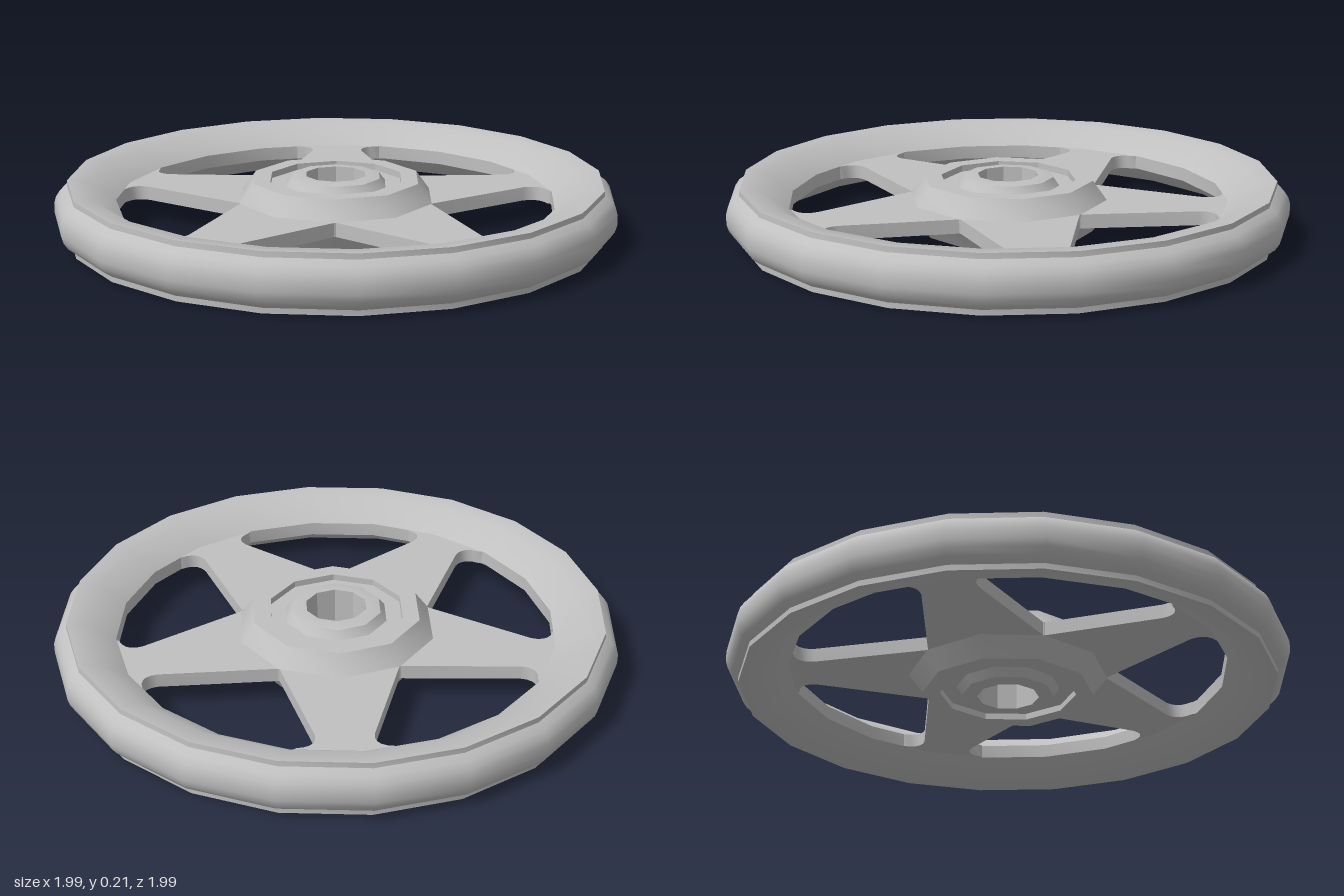
import * as THREE from 'three';
import { toCreasedNormals } from 'three/addons/utils/BufferGeometryUtils.js';

const MID = 0.105; // height of the wheel's symmetry plane

// Closed ring turned around y, from the upper half of its profile (outside to inside)
function ring(upper, segments, phiStart, crease) {
  const top = upper.map(([r, h]) => new THREE.Vector2(r, MID + h));
  const bottom = upper.map(([r, h]) => new THREE.Vector2(r, MID - h)).reverse();
  const pts = [...top, ...bottom];
  pts.push(pts[0].clone());
  return toCreasedNormals(new THREE.LatheGeometry(pts, segments, phiStart), crease);
}

// Five-spoke web: a disc with a centre hole and five rounded windows
function webGeometry(thickness) {
  const polygon = (Type, radius, sides, start) => {
    const pts = [];
    for (let i = 0; i < sides; i++) {
      const a = start + (i / sides) * Math.PI * 2;
      pts.push(new THREE.Vector2(radius * Math.sin(a), -radius * Math.cos(a)));
    }
    return new Type(pts);
  };
  const disc = polygon(THREE.Shape, 0.84, 20, THREE.MathUtils.degToRad(4.6));
  disc.holes.push(polygon(THREE.Path, 0.2, 10, 0));

  const outline = new THREE.Path();
  outline.moveTo(0, -0.352);
  outline.lineTo(0.325, -0.612);
  outline.quadraticCurveTo(0.37, -0.66, 0.315, -0.705);
  outline.lineTo(0.3, -0.75);
  outline.lineTo(0, -0.81);
  outline.lineTo(-0.3, -0.75);
  outline.lineTo(-0.315, -0.705);
  outline.quadraticCurveTo(-0.37, -0.66, -0.325, -0.612);
  const points = outline.getPoints(5);
  const origin = new THREE.Vector2();
  for (let k = 0; k < 5; k++) {
    const turned = points.map((p) => p.clone().rotateAround(origin, (k * Math.PI * 2) / 5));
    disc.holes.push(new THREE.Path(turned));
  }
  const geo = new THREE.ExtrudeGeometry(disc, { depth: thickness, bevelEnabled: false });
  geo.rotateX(-Math.PI / 2);
  geo.translate(0, MID - thickness / 2, 0);
  return toCreasedNormals(geo, 0.6);
}

export function createModel() {
  const metal = new THREE.MeshStandardMaterial({ color: 0xc0c0c0 });
  metal.name = 'greyMetal';
  const wheel = new THREE.Group();
  wheel.name = 'spokedWheel';
  const add = (name, geometry) => {
    const mesh = new THREE.Mesh(geometry, metal);
    mesh.name = name;
    wheel.add(mesh);
  };

  // Rim with a rounded tread, side lips and a sloping inner face
  add('rim', ring([
    [1.0, 0.018], [0.993, 0.042], [0.978, 0.064], [0.953, 0.081],
    [0.952, 0.1], [0.88, 0.092], [0.782, 0.025],
  ], 20, THREE.MathUtils.degToRad(4.6), 0.5));

  add('spokes', webGeometry(0.05));

  // Hub with a chamfered collar, a groove and a raised bored boss
  add('hub', ring([
    [0.355, 0.025], [0.305, 0.093], [0.243, 0.093], [0.243, 0.07],
    [0.185, 0.07], [0.163, 0.1], [0.135, 0.105], [0.11, 0.105],
  ], 10, 0, 0.55));

  return wheel;
}
